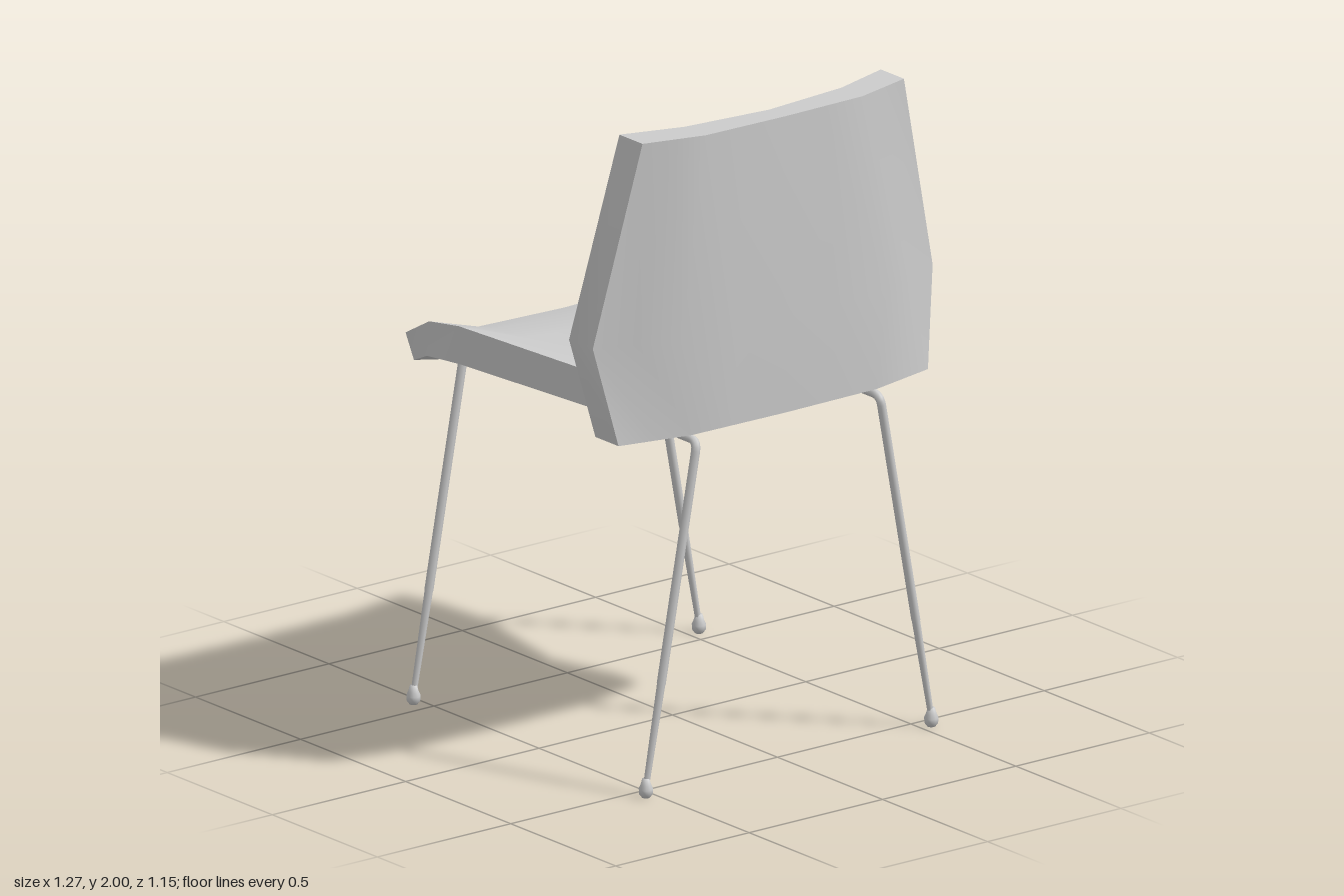
import * as THREE from 'three';
import { toCreasedNormals } from 'three/addons/utils/BufferGeometryUtils.js';

const material = new THREE.MeshStandardMaterial({ color: 0xcccccc });
const COLS = [-1, -0.8, -0.6, -0.3, 0, 0.3, 0.6, 0.8, 1];

// 1 along the centre line, `knee` at 60% of the half width, 0 at the side edge
function bow(u, knee) {
  const a = Math.abs(u);
  return a < 0.6 ? 1 - (1 - knee) * a / 0.6 : knee * (1 - a) / 0.4;
}
const mix = (edge, centre, w) => edge + (centre - edge) * w;

// Closed slab between two point grids; the outside of faceA is (row x column) direction
function slab(faceA, faceB) {
  const pos = [];
  const quad = (a, b, c, d) => [a, b, c, a, c, d].forEach(p => pos.push(...p));
  const R = faceA.length - 1, C = faceA[0].length - 1;
  for (let r = 0; r < R; r++) {
    for (let c = 0; c < C; c++) {
      quad(faceA[r][c], faceA[r + 1][c], faceA[r + 1][c + 1], faceA[r][c + 1]);
      quad(faceB[r][c], faceB[r][c + 1], faceB[r + 1][c + 1], faceB[r + 1][c]);
    }
  }
  // rim running around the border
  const rim = [];
  for (let r = 0; r < R; r++) rim.push([r, 0]);
  for (let c = 0; c < C; c++) rim.push([R, c]);
  for (let r = R; r > 0; r--) rim.push([r, C]);
  for (let c = C; c > 0; c--) rim.push([0, c]);
  rim.forEach(([r, c], i) => {
    const [r2, c2] = rim[(i + 1) % rim.length];
    quad(faceA[r2][c2], faceA[r][c], faceB[r][c], faceB[r2][c2]);
  });
  const g = new THREE.BufferGeometry();
  g.setAttribute('position', new THREE.Float32BufferAttribute(pos, 3));
  return toCreasedNormals(g, 0.65);
}

function addMesh(parent, geometry, name) {
  const mesh = new THREE.Mesh(geometry, material);
  mesh.name = name;
  parent.add(mesh);
  return mesh;
}

// Dished seat: rows run from the free edge to the backrest, each side is [z, y] at edge and centre
function makeSeat() {
  const rows = [
    { half: 0.575, top: [-0.54, 1.165, -0.515, 1.13], low: [-0.50, 1.09, -0.485, 1.06] },
    { half: 0.605, top: [-0.39, 1.245, -0.38, 1.16], low: [-0.40, 1.135, -0.385, 1.057] },
    { half: 0.635, top: [-0.21, 1.283, -0.21, 1.175], low: [-0.21, 1.166, -0.21, 1.055] },
    { half: 0.49, top: [0.41, 1.235, 0.41, 1.18], low: [0.41, 1.125, 0.41, 1.08] },
  ];
  const face = key => rows.map(row => COLS.map(u => {
    const [ze, ye, zc, yc] = row[key], w = bow(u, 0.82);
    return [u * row.half, mix(ye, yc, w), mix(ze, zc, w)];
  }));
  return slab(face('top'), face('low'));
}

// Wrapped backrest: rows run from top to bottom, each side is [edge z, centre z]
function makeBackrest() {
  const rows = [
    { y: 2.0, half: 0.49, outer: [0.48, 0.538], inner: [0.37, 0.46] },
    { y: 1.38, half: 0.637, outer: [0.43, 0.547], inner: [0.317, 0.46] },
    { y: 1.08, half: 0.58, outer: [0.48, 0.538], inner: [0.37, 0.46] },
  ];
  const face = (key, knee) => rows.map(row => COLS.map(u =>
    [u * row.half, row.y, mix(...row[key], bow(u, knee))]));
  return slab(face('outer', 0.9), face('inner', 0.68));
}

// One bent tube per side: leg, rail under the seat, leg
const TOP = new THREE.Vector3(0.343, 1.066, 0.553);
const FOOT = new THREE.Vector3(0.535, 0.03, 0.553);
const flipZ = v => new THREE.Vector3(v.x, v.y, -v.z);

function makeFrame() {
  const frame = new THREE.Group();
  const joint = FOOT.clone().lerp(TOP, 0.3);
  const bendLeg = TOP.clone().lerp(FOOT, 0.03);
  const bendRail = new THREE.Vector3(TOP.x, TOP.y, TOP.z - 0.03);
  const path = new THREE.CurvePath();
  path.add(new THREE.LineCurve3(joint, bendLeg));
  path.add(new THREE.QuadraticBezierCurve3(bendLeg, TOP, bendRail));
  path.add(new THREE.LineCurve3(bendRail, flipZ(bendRail)));
  path.add(new THREE.QuadraticBezierCurve3(flipZ(bendRail), flipZ(TOP), flipZ(bendLeg)));
  path.add(new THREE.LineCurve3(flipZ(bendLeg), flipZ(joint)));
  addMesh(frame, new THREE.TubeGeometry(path, 260, 0.0135, 8), 'legsAndRail');

  const footProfile = [[0, 0], [0.012, 0], [0.021, 0.012], [0.022, 0.026], [0.016, 0.04], [0.011, 0.058], [0, 0.058]]
    .map(([x, y]) => new THREE.Vector2(x, y));
  for (const side of [1, -1]) {
    // slimmer lower leg
    const dir = joint.clone().sub(FOOT);
    const lower = addMesh(frame, new THREE.CylinderGeometry(0.0125, 0.009, dir.length(), 8), 'lowerLeg');
    lower.position.copy(joint).add(FOOT).multiplyScalar(0.5);
    lower.position.z *= side;
    lower.quaternion.setFromUnitVectors(new THREE.Vector3(0, 1, 0), dir.normalize());
    // round glide
    const foot = addMesh(frame, new THREE.LatheGeometry(footProfile, 10), 'foot');
    foot.position.set(FOOT.x, 0, FOOT.z * side);
  }
  return frame;
}

export function createModel() {
  const chair = new THREE.Group();
  chair.name = 'chair';
  addMesh(chair, makeSeat(), 'seat');
  addMesh(chair, makeBackrest(), 'backrest');
  const left = makeFrame();
  left.name = 'leftFrame';
  const right = makeFrame();
  right.name = 'rightFrame';
  right.rotation.y = Math.PI;
  chair.add(left, right);
  return chair;
}
